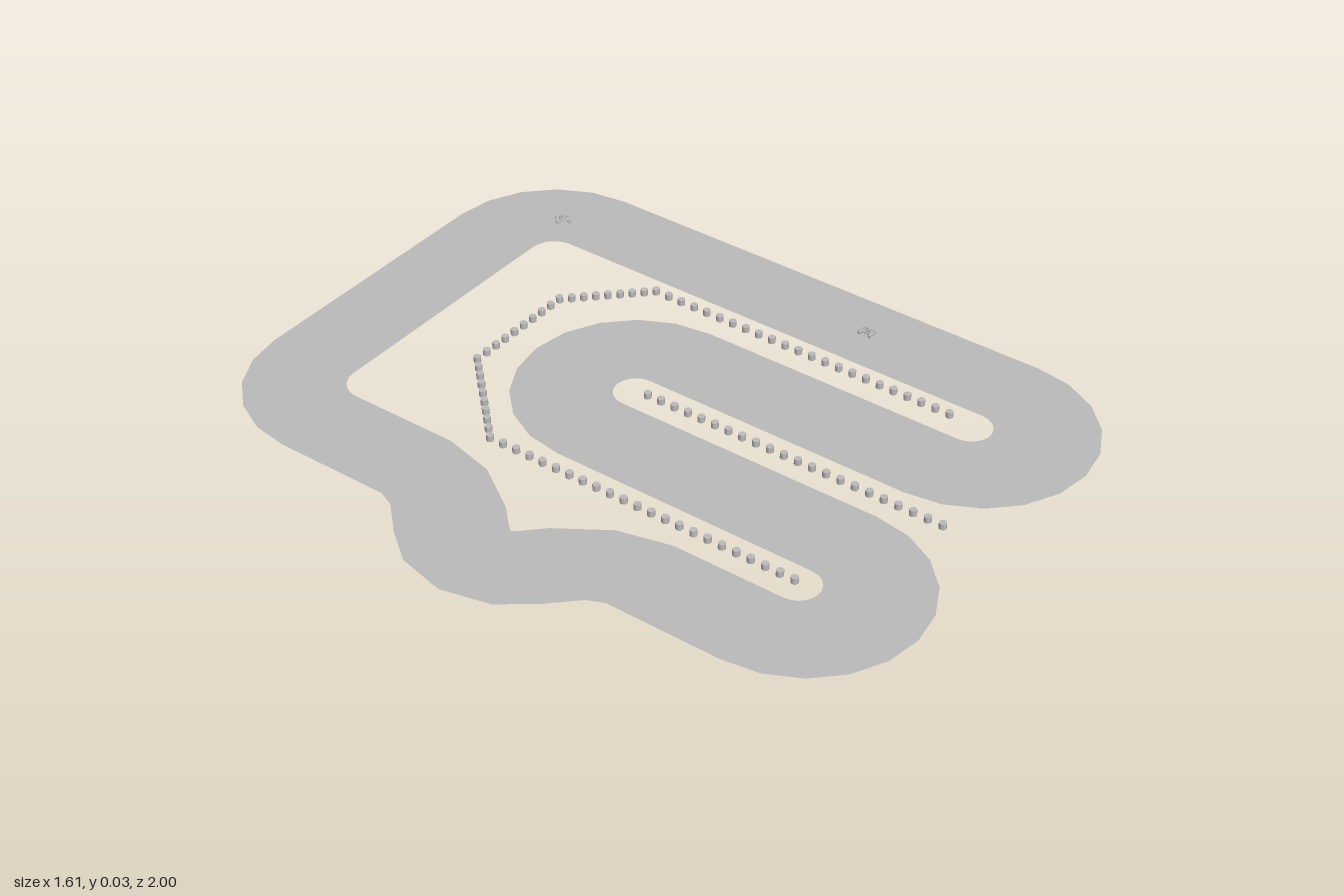
import * as THREE from 'three';

const grey = new THREE.MeshStandardMaterial({ color: 0xbbbbbb, side: THREE.DoubleSide });
grey.name = 'plain grey';

function addMesh(parent, name, geometry, x = 0, y = 0, z = 0) {
  const mesh = new THREE.Mesh(geometry, grey);
  mesh.name = name;
  mesh.position.set(x, y, z);
  parent.add(mesh);
  return mesh;
}

// Faceted arc in plan, as [x, z] points; angles in quarter turns
function arc(cx, cz, r, from, to) {
  const n = Math.abs(to - from) * 5;
  return Array.from({ length: n + 1 }, (_, i) => {
    const a = (from + (to - from) * i / n) * Math.PI / 2;
    return [cx + r * Math.cos(a), cz + r * Math.sin(a)];
  });
}

// Side bulge, mirrored front to back and listed from front to back
const bulge = half => [...half, ...half.slice(0, -1).reverse().map(([x, z]) => [x, -z])];
const toPoints = list => list.map(([x, z]) => new THREE.Vector2(x, -z));

// Flat ribbon of road: outer edge with the infield as a hole
function createTrack() {
  const L = -0.288, M = 0.096, R = 0.48, big = 0.324, small = 0.06;
  const outer = [
    ...arc(L, -0.676, big, 2, 3),
    ...arc(R, -0.676, big, 3, 4),
    ...arc(R, 0.674, big, 0, 2),
    ...arc(M, -0.1, small, 0, -2),
    ...arc(L, 0.674, big, 0, 2),
    ...bulge([[-0.612, 0.345], [-0.632, 0.3], [-0.706, 0.225], [-0.775, 0.135], [-0.807, 0]]),
  ];
  const inner = [
    ...arc(L + 0.012, -0.663, 0.072, 2, 3),
    ...arc(R - 0.012, -0.663, 0.072, 3, 4),
    ...arc(R, 0.664, small, 0, 2),
    ...arc(M, -0.102, big, 0, -2),
    ...arc(L, 0.664, small, 0, 2),
    ...bulge([[-0.348, 0.347], [-0.384, 0.2], [-0.474, 0.066], [-0.521, 0.02], [-0.537, 0]]),
  ];
  const shape = new THREE.Shape(toPoints(outer));
  shape.holes.push(new THREE.Path(toPoints(inner)));
  return new THREE.ShapeGeometry(shape).rotateX(-Math.PI / 2);
}

// Small kart facing +z
function createKart(name, x, z, turn) {
  const kart = new THREE.Group();
  kart.name = name;
  kart.position.set(x, 0, z);
  kart.rotation.y = turn;
  addMesh(kart, 'chassis', new THREE.BoxGeometry(0.016, 0.004, 0.042), 0, 0.006, 0);
  addMesh(kart, 'nose', new THREE.BoxGeometry(0.018, 0.004, 0.007), 0, 0.007, 0.02);
  addMesh(kart, 'seat', new THREE.BoxGeometry(0.01, 0.009, 0.004), 0, 0.012, -0.008);
  addMesh(kart, 'driverBody', new THREE.CylinderGeometry(0.003, 0.005, 0.01, 8), 0, 0.013, -0.002);
  addMesh(kart, 'driverHead', new THREE.SphereGeometry(0.004, 8, 6), 0, 0.021, -0.002);
  addMesh(kart, 'steeringWheel', new THREE.TorusGeometry(0.003, 0.0007, 5, 10), 0, 0.013, 0.008);
  const wheel = new THREE.CylinderGeometry(0.005, 0.005, 0.007, 10).rotateZ(Math.PI / 2);
  for (const sx of [-1, 1]) {
    for (const sz of [-1, 1]) addMesh(kart, 'wheel', wheel, sx * 0.0125, 0.005, sz * 0.016);
  }
  return kart;
}

export function createModel() {
  const model = new THREE.Group();
  model.name = 'raceTrack';
  addMesh(model, 'track', createTrack());

  // Rows of marker posts along the infield
  const posts = new THREE.Group();
  posts.name = 'markerPosts';
  model.add(posts);
  const post = new THREE.CylinderGeometry(0.01, 0.01, 0.017, 10);
  const addRow = (x0, z0, x1, z1, steps, first = 0) => {
    for (let i = first; i <= steps; i++) {
      const t = i / steps;
      addMesh(posts, 'post', post, x0 + (x1 - x0) * t, 0.0105, z0 + (z1 - z0) * t);
    }
  };
  addRow(-0.288, 0.655, -0.288, -0.268, 22);
  addRow(-0.288, -0.268, -0.045, -0.51, 9, 1);
  addRow(-0.045, -0.51, 0.3, -0.51, 9, 1);
  addRow(0.3, -0.51, 0.485, -0.325, 8, 1);
  addRow(0.485, -0.325, 0.485, 0.6, 22, 1);
  addRow(0.093, -0.06, 0.093, 0.825, 21);

  model.add(createKart('leadKart', 0.62, -0.75, Math.PI / 4));
  model.add(createKart('chasingKart', 0.67, 0.23, Math.PI));
  return model;
}
